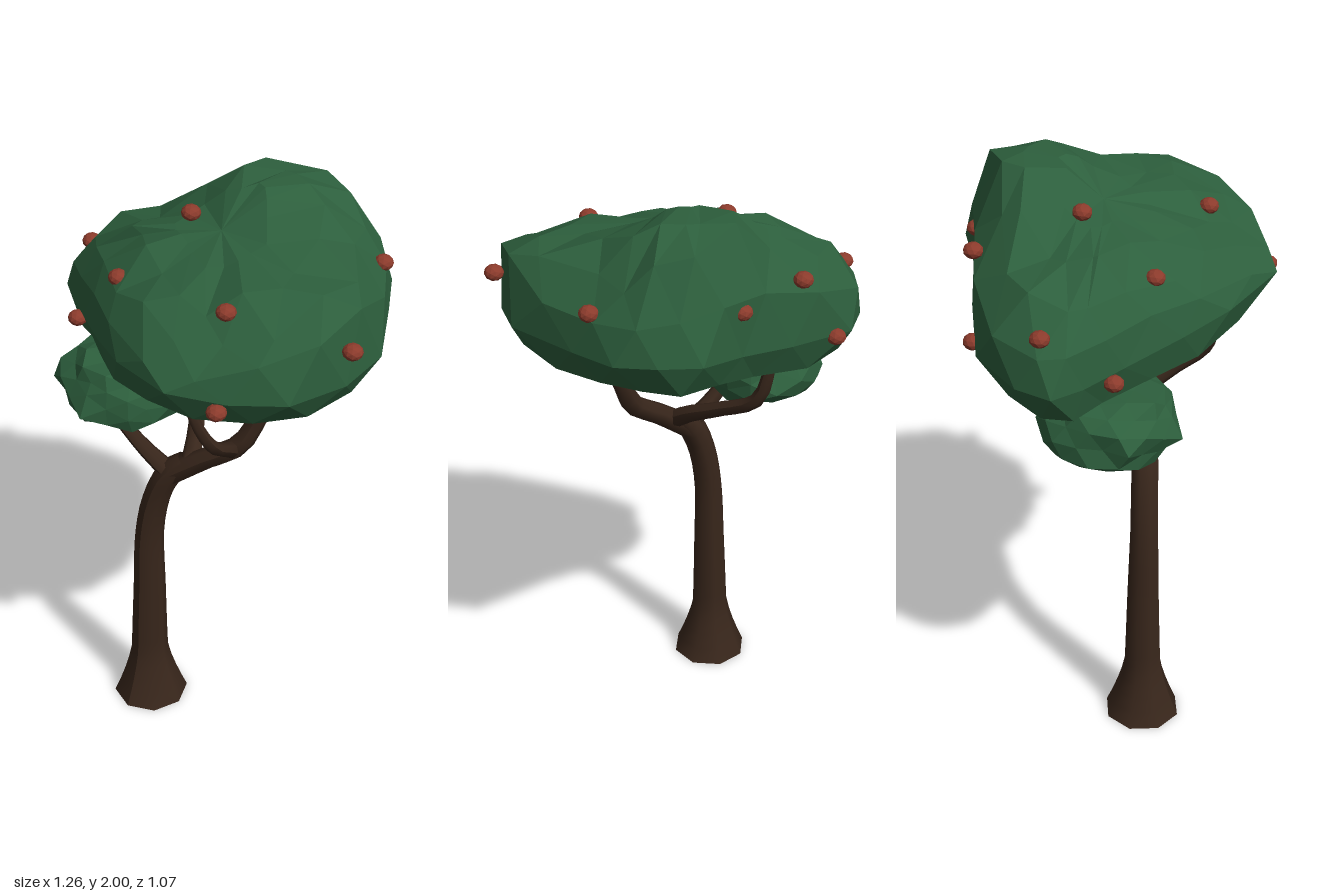
import * as THREE from 'three';

const material = (color, extra = {}) =>
  new THREE.MeshStandardMaterial({ color, roughness: 0.9, ...extra });
const bark = material(0x38261b, { side: THREE.DoubleSide });
const leaf = material(0x2d5f3d, { flatShading: true });
const fruitSkin = material(0x8c3b2c, { flatShading: true });

// Repeatable value from -1 to 1 for a position
function noise(x, y, z) {
  const s = Math.sin(x * 127.1 + y * 311.7 + z * 74.7) * 4375.85;
  return 2 * (s - Math.floor(s)) - 1;
}

function addMesh(group, name, geometry, mat) {
  const mesh = new THREE.Mesh(geometry, mat);
  mesh.name = name;
  group.add(mesh);
  return mesh;
}

// Tapered limb through stations of [x, y, z, radius]
function limb(stations, sides) {
  const curve = new THREE.CatmullRomCurve3(stations.map(([x, y, z]) => new THREE.Vector3(x, y, z)));
  const last = stations.length - 1;
  const rings = last * 3;
  const geometry = new THREE.TubeGeometry(curve, rings, 1, sides);
  const pos = geometry.attributes.position;
  const v = new THREE.Vector3();
  for (let i = 0; i <= rings; i++) {
    const centre = curve.getPointAt(i / rings);
    const t = curve.getUtoTmapping(i / rings) * last;
    const k = Math.min(Math.floor(t), last - 1);
    const radius = THREE.MathUtils.lerp(stations[k][3], stations[k + 1][3], t - k);
    for (let j = 0; j <= sides; j++) {
      const n = i * (sides + 1) + j;
      v.fromBufferAttribute(pos, n).sub(centre).multiplyScalar(radius).add(centre);
      pos.setXYZ(n, v.x, Math.max(v.y, 0), v.z);
    }
  }
  geometry.computeVertexNormals();
  return geometry;
}

// Height of the crown's upper surface: slopes to the front and left,
// with a plateau at the back that drops at the rear and the right rear
function crownTop(x, z) {
  const front = Math.max(z, 0), back = Math.max(-z, 0);
  const left = Math.max(-x, 0), right = Math.max(x - 0.2, 0);
  const plateau = 0.115 * Math.exp(-(((x - 0.06) / 0.24) ** 4 + ((z + 0.25) / 0.2) ** 4));
  return 1.88 - 0.15 * front - 0.45 * front ** 2 + 0.08 * back - 4 * Math.max(back - 0.38, 0) ** 2
    - 0.05 * left - 0.4 * left ** 2 - 0.03 * right - 1.8 * right * back + plateau;
}

// Crown made of rings that follow the widest outline [x, y, z]
function crownGeometry() {
  const outline = [
    [0.2, 1.63, 0.53], [0.37, 1.61, 0.44], [0.52, 1.61, 0.33], [0.58, 1.6, 0.12],
    [0.585, 1.62, -0.06], [0.45, 1.63, -0.3], [0.36, 1.64, -0.45], [0.24, 1.65, -0.52],
    [0.1, 1.64, -0.535], [-0.06, 1.6, -0.43], [-0.25, 1.57, -0.36], [-0.5, 1.53, -0.24],
    [-0.6, 1.5, -0.07], [-0.63, 1.5, 0.06], [-0.53, 1.5, 0.13], [-0.41, 1.53, 0.22],
    [-0.23, 1.57, 0.35], [-0.06, 1.6, 0.45],
  ];
  const curve = new THREE.CatmullRomCurve3(outline.map((p) => new THREE.Vector3(...p)), true);
  const N = outline.length;
  const shoulder = (x, z, rim) =>
    rim + (0.58 + 0.6 * Math.max(x - 0.1, 0)) * (crownTop(x, z) - rim);
  // [scale, height rule, jitter]
  const rings = [
    [0, () => 1.43, 0],
    [0.62, (x, z) => 1.43 + 0.1 * x + 0.04 * Math.abs(z), 0.01],
    [0.9, (x, z, rim) => rim - 0.11, 0.012],
    [1, (x, z, rim) => rim, 0],
    [0.96, shoulder, 0.012],
    [0.8, (x, z, rim) => rim + 0.95 * (crownTop(x, z) - rim), 0.025],
    [0.56, crownTop, 0.025],
    [0.28, crownTop, 0.015],
    [0, crownTop, 0],
  ];
  const positions = [];
  const index = [];
  rings.forEach(([scale, height, jitter], k) => {
    for (let i = 0; i < N; i++) {
      const shift = k % 2 ? 0 : 0.5;
      const p = curve.getPoint(((i + shift) / N) % 1);
      const x = p.x * scale + jitter * noise(i, k, 1);
      const z = p.z * scale + jitter * noise(i, k, 2);
      positions.push(x, Math.min(height(x, z, p.y) + jitter * noise(i, k, 3), 2), z);
    }
  });
  for (let k = 0; k < rings.length - 1; k++) {
    for (let i = 0; i < N; i++) {
      const j = (i + 1) % N;
      const a = k * N + i, b = k * N + j, c = (k + 1) * N + j, d = (k + 1) * N + i;
      if (k % 2) index.push(a, b, d, b, c, d);
      else index.push(a, b, c, a, c, d);
    }
  }
  const geometry = new THREE.BufferGeometry();
  geometry.setAttribute('position', new THREE.Float32BufferAttribute(positions, 3));
  geometry.setIndex(index);
  geometry.computeVertexNormals();
  return geometry;
}

// Small jagged leaf clump, flattened above and below
function clumpGeometry() {
  const geometry = new THREE.IcosahedronGeometry(1, 2);
  const pos = geometry.attributes.position;
  const v = new THREE.Vector3();
  for (let i = 0; i < pos.count; i++) {
    v.fromBufferAttribute(pos, i);
    const [x, y, z] = v.toArray().map((n) => Math.round(n * 100) / 100 + 0);
    const flat = Math.sign(y) * Math.abs(y) ** 0.75;
    const swell = 0.96 + 0.11 * noise(x, y, z);
    pos.setXYZ(i, x * 0.24 * swell, (flat * 0.13 + x * 0.01) * swell, z * 0.235 * swell);
  }
  geometry.computeVertexNormals();
  return geometry;
}

export function createModel() {
  const tree = new THREE.Group();
  tree.name = 'tree';

  // Trunk with flared foot
  addMesh(tree, 'trunk', limb([
    [-0.17, 0, 0.21, 0.134], [-0.17, 0.08, 0.21, 0.102], [-0.17, 0.2, 0.21, 0.067],
    [-0.165, 0.48, 0.207, 0.058], [-0.157, 0.75, 0.205, 0.05],
    [-0.13, 0.9, 0.195, 0.048], [-0.085, 1.01, 0.18, 0.048], [-0.03, 1.07, 0.155, 0.036],
  ], 8), bark);

  // Branches
  const branches = {
    mainBranch: [[-0.09, 1.0, 0.18, 0.042], [0.04, 1.1, 0.14, 0.038], [0.15, 1.18, 0.1, 0.036],
      [0.2, 1.29, 0.06, 0.031], [0.29, 1.53, 0.035, 0.02]],
    frontBranch: [[0.13, 1.16, 0.11, 0.03], [0.175, 1.23, 0.2, 0.025], [0.195, 1.3, 0.29, 0.022],
      [0.17, 1.38, 0.33, 0.019], [0.11, 1.54, 0.345, 0.016]],
    backBranch: [[-0.01, 1.06, 0.16, 0.034], [-0.05, 1.12, 0.08, 0.03], [-0.12, 1.18, -0.02, 0.026],
      [-0.22, 1.27, -0.14, 0.025], [-0.26, 1.46, -0.165, 0.018]],
    lowBranch: [[-0.07, 1.01, 0.18, 0.036], [-0.17, 1.09, 0.205, 0.028], [-0.31, 1.24, 0.24, 0.018]],
  };
  for (const [name, stations] of Object.entries(branches)) {
    addMesh(tree, name, limb(stations, 7), bark);
  }

  // Foliage
  addMesh(tree, 'crown', crownGeometry(), leaf);
  addMesh(tree, 'lowerLeafClump', clumpGeometry(), leaf).position.set(-0.3, 1.285, 0.14);

  // Fruit
  const fruits = new THREE.Group();
  fruits.name = 'fruits';
  tree.add(fruits);
  const fruitGeometry = new THREE.IcosahedronGeometry(0.033, 1).scale(1, 0.82, 1);
  [
    [0.24, 1.81, 0.28], [-0.22, 1.755, 0.25], [-0.455, 1.495, 0.2], [-0.56, 1.665, 0],
    [-0.14, 1.9, -0.02], [0.4, 1.77, -0.33], [0.597, 1.73, 0.12], [0.345, 1.585, 0.46],
    [-0.06, 1.75, -0.42], [-0.29, 1.785, -0.33], [-0.43, 1.54, -0.28], [-0.335, 1.22, -0.03],
  ].forEach((p) => addMesh(fruits, 'fruit', fruitGeometry, fruitSkin).position.set(...p));

  return tree;
}
